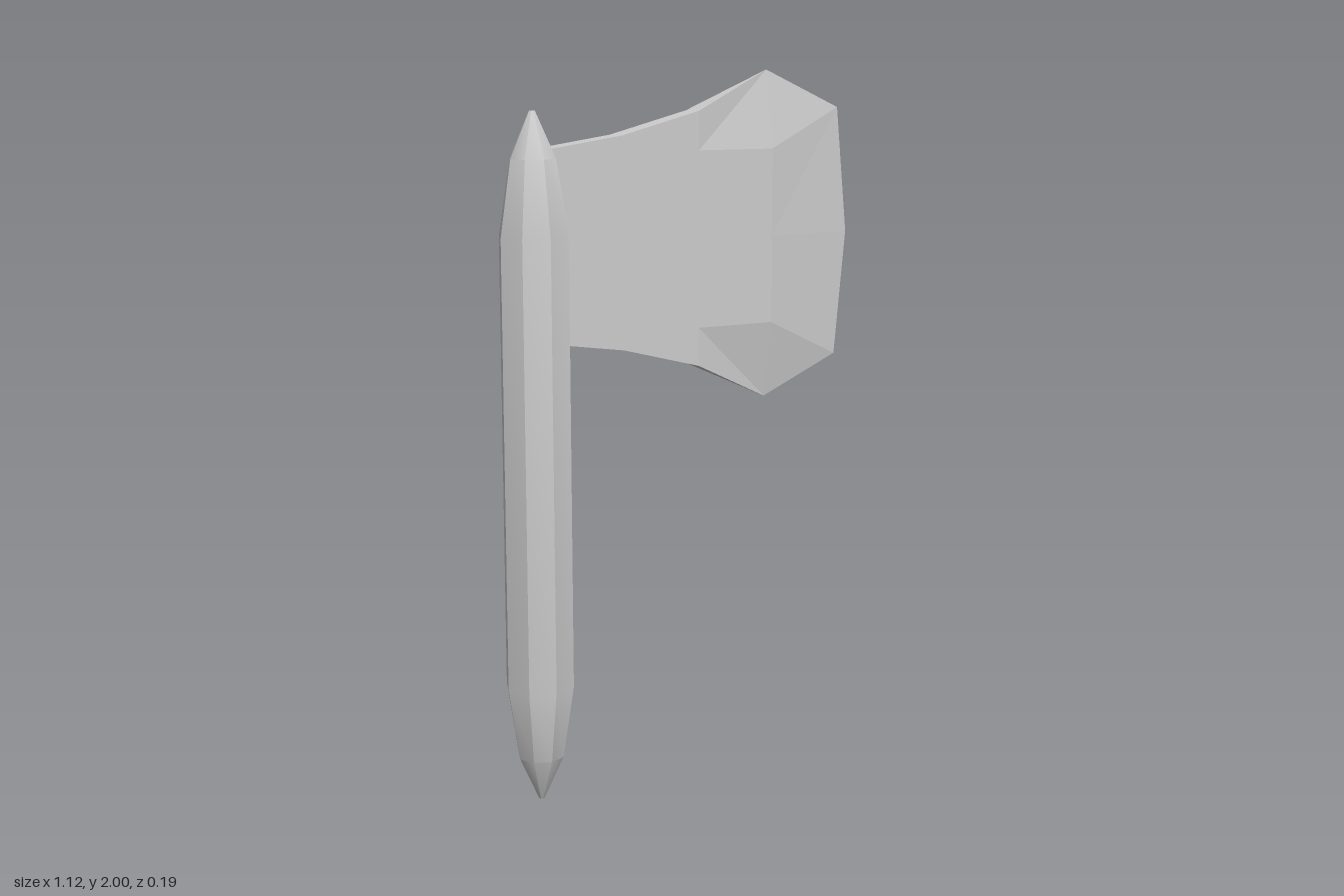
import * as THREE from 'three';
import { toCreasedNormals } from 'three/addons/utils/BufferGeometryUtils.js';

const material = new THREE.MeshStandardMaterial({ color: 0xcccccc });
const flatMaterial = new THREE.MeshStandardMaterial({ color: 0xcccccc, flatShading: true });

// Eight-sided shaft, tapering to a blunt point at both ends
function createHandle() {
  const half = [[0, 0], [0.008, 0], [0.065, 0.125], [0.097, 0.33]];
  const height = 1.895;
  const profile = [...half, ...half.map(([r, y]) => [r, height - y]).reverse()];
  const lathe = new THREE.LatheGeometry(profile.map(([r, y]) => new THREE.Vector2(r, y)), 8);
  const handle = new THREE.Mesh(toCreasedNormals(lathe, THREE.MathUtils.degToRad(42.5)), material);
  handle.name = 'handle';
  handle.position.x = -0.463;
  return handle;
}

// Blade: columns from socket to cutting edge, mirrored above and below the middle height
function createBlade() {
  const middle = 1.5375;
  const t = 0.035;
  // x, outer half height, inner half height, half thickness at rim and inside, x at middle
  const columns = [
    [-0.45, 0.255, 0.2, t, t, -0.45],
    [-0.21, 0.29, 0.22, t, t, -0.21],
    [0.03, 0.352, 0.245, t, t, 0.03],
    [0.273, 0.463, 0.245, 0, t, 0.273],
    [0.52, 0.357, 0.357, 0, 0, 0.556],
  ].map(([x, outer, inner, rim, face, midX]) => [
    [x, outer, rim], [x, inner, face], [midX, 0, face], [x, -inner, face], [x, -outer, rim],
  ].map(([px, py, pz]) => new THREE.Vector3(px, middle + py, pz)));

  const positions = [];
  const flip = (p) => new THREE.Vector3(p.x, p.y, -p.z);
  const triangle = (a, b, c) => {
    if (new THREE.Triangle(a, b, c).getArea() < 1e-6) return;
    for (const p of [a, b, c]) positions.push(p.x, p.y, p.z);
  };
  const bothSides = (a, b, c) => {
    triangle(a, b, c);
    triangle(flip(a), flip(c), flip(b));
  };
  const quad = (a, b, c, d) => {
    triangle(a, b, c);
    triangle(a, c, d);
  };

  for (let i = 0; i < columns.length - 1; i++) {
    const [left, right] = [columns[i], columns[i + 1]];
    // Front and back faces
    for (let j = 0; j < 4; j++) {
      const [a, b, c, d] = [left[j], left[j + 1], right[j + 1], right[j]];
      if (j < 2) {
        bothSides(a, b, d);
        bothSides(b, c, d);
      } else {
        bothSides(a, b, c);
        bothSides(a, c, d);
      }
    }
    // Upper and lower rims
    quad(left[0], right[0], flip(right[0]), flip(left[0]));
    quad(left[4], flip(left[4]), flip(right[4]), right[4]);
  }
  // End wall inside the handle
  for (let j = 0; j < 4; j++) {
    const [a, b] = [columns[0][j], columns[0][j + 1]];
    quad(a, flip(a), flip(b), b);
  }

  const geometry = new THREE.BufferGeometry();
  geometry.setAttribute('position', new THREE.Float32BufferAttribute(positions, 3));
  geometry.computeVertexNormals();
  const blade = new THREE.Mesh(geometry, flatMaterial);
  blade.name = 'blade';
  return blade;
}

export function createModel() {
  const axe = new THREE.Group();
  axe.name = 'axe';
  axe.add(createHandle(), createBlade());
  return axe;
}
